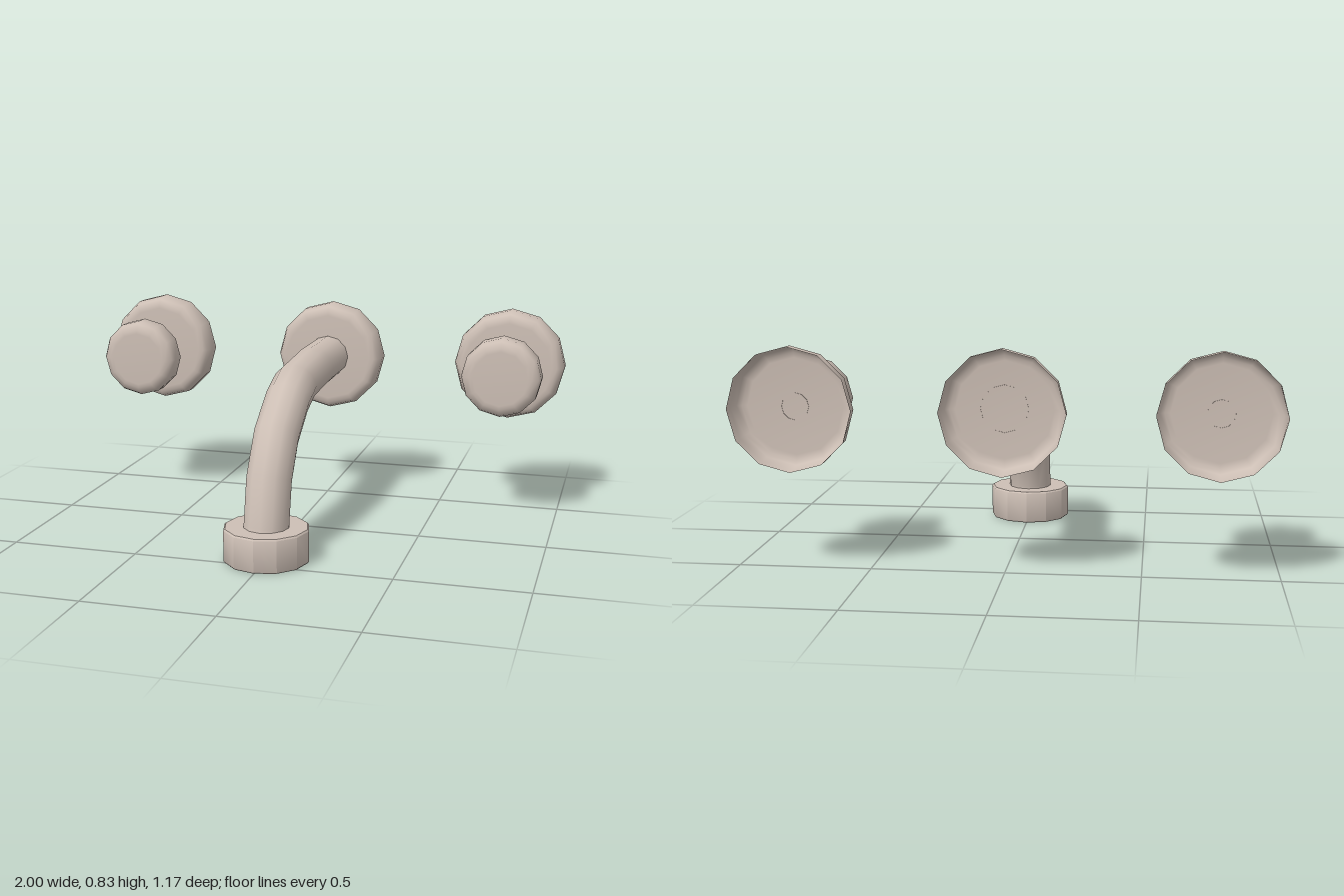
import * as THREE from 'three';
import { toCreasedNormals } from 'three/addons/utils/BufferGeometryUtils.js';

const SIDES = 12;
const AXIS_Y = 0.604;    // height of the wall plates
const HANDLE_X = 0.772;  // sideways offset of the handles
const HEAD_Z = 0.422;    // centre of the outlet head

const metal = new THREE.MeshStandardMaterial({ color: 0xcdbfb5, side: THREE.DoubleSide });
metal.name = 'brushed metal';
const dark = new THREE.MeshStandardMaterial({ color: 0x2a2a2a, side: THREE.DoubleSide });
dark.name = 'dark outlet';

// Turned part around y from [radius, height] pairs, listed bottom to top
function turned(name, profile, material = metal) {
  const points = profile.map(([r, h]) => new THREE.Vector2(r, h));
  const geometry = toCreasedNormals(new THREE.LatheGeometry(points, SIDES), 0.8);
  const mesh = new THREE.Mesh(geometry, material);
  mesh.name = name;
  return mesh;
}

// Turned part whose axis points out of the wall (+z)
function wallTurned(name, profile) {
  const mesh = turned(name, profile);
  mesh.geometry.rotateX(Math.PI / 2);
  return mesh;
}

// Hollow, open-backed cup against the wall
function wallPlate() {
  return wallTurned('wallPlate', [
    [0.229, -0.587], [0.229, -0.54], [0.217, -0.505], [0.2, -0.492], [0.18, -0.49], [0, -0.49],
  ]);
}

// Plate, stem and round knob
function handle(name, x) {
  const group = new THREE.Group();
  group.name = name;
  const stem = wallTurned('handleStem', [[0.051, -0.492], [0.051, -0.35]]);
  const knob = wallTurned('handleKnob', [
    [0, -0.357], [0.11, -0.357], [0.125, -0.356], [0.15, -0.343], [0.16, -0.322],
    [0.16, -0.258], [0.15, -0.237], [0.125, -0.224], [0.11, -0.223], [0, -0.223],
  ]);
  group.add(wallPlate(), stem, knob);
  group.position.set(x, AXIS_Y, 0);
  return group;
}

// Bent pipe skinned over rings; each ring is outer z, y and inner z, y
function spoutPipe() {
  const rings = [
    [-0.492, 0.696, -0.492, 0.521],
    [-0.22, 0.695, -0.25, 0.52],
    [0.056, 0.675, 0.0, 0.506],
    [0.182, 0.628, 0.102, 0.469],
    [0.352, 0.51, 0.226, 0.384],
    [0.465, 0.337, 0.302, 0.273],
    [0.506, 0.145, 0.332, 0.14],
    [0.514, 0.125, 0.328, 0.125],
  ];
  const positions = [];
  const index = [];
  rings.forEach(([z0, y0, z1, y1], i) => {
    for (let j = 0; j < SIDES; j++) {
      const angle = (j / SIDES) * Math.PI * 2;
      const c = Math.cos(angle) / 2;
      positions.push(
        Math.sin(angle) * 0.088,
        (y0 + y1) / 2 + c * (y0 - y1),
        (z0 + z1) / 2 + c * (z0 - z1),
      );
      if (i === rings.length - 1) continue;
      const a = i * SIDES + j;
      const b = i * SIDES + ((j + 1) % SIDES);
      index.push(a, a + SIDES, b, b, a + SIDES, b + SIDES);
    }
  });
  const geometry = new THREE.BufferGeometry();
  geometry.setAttribute('position', new THREE.Float32BufferAttribute(positions, 3));
  geometry.setIndex(index);
  geometry.computeVertexNormals();
  const mesh = new THREE.Mesh(geometry, metal);
  mesh.name = 'spoutPipe';
  return mesh;
}

export function createModel() {
  const model = new THREE.Group();
  model.name = 'wallTap';

  // Central spout
  const plate = wallPlate();
  plate.position.y = AXIS_Y;
  model.add(plate, spoutPipe());

  // Outlet head with a recessed dark opening underneath
  const head = turned('outletHead', [
    [0.127, 0.03], [0.135, 0], [0.159, 0], [0.165, 0.006],
    [0.165, 0.126], [0.159, 0.132], [0, 0.132],
  ]);
  const opening = turned('outletOpening', [[0, 0.03], [0.127, 0.03]], dark);
  for (const part of [head, opening]) {
    part.position.z = HEAD_Z;
    model.add(part);
  }

  // Handles on both sides
  model.add(handle('leftHandle', HANDLE_X), handle('rightHandle', -HANDLE_X));
  return model;
}
